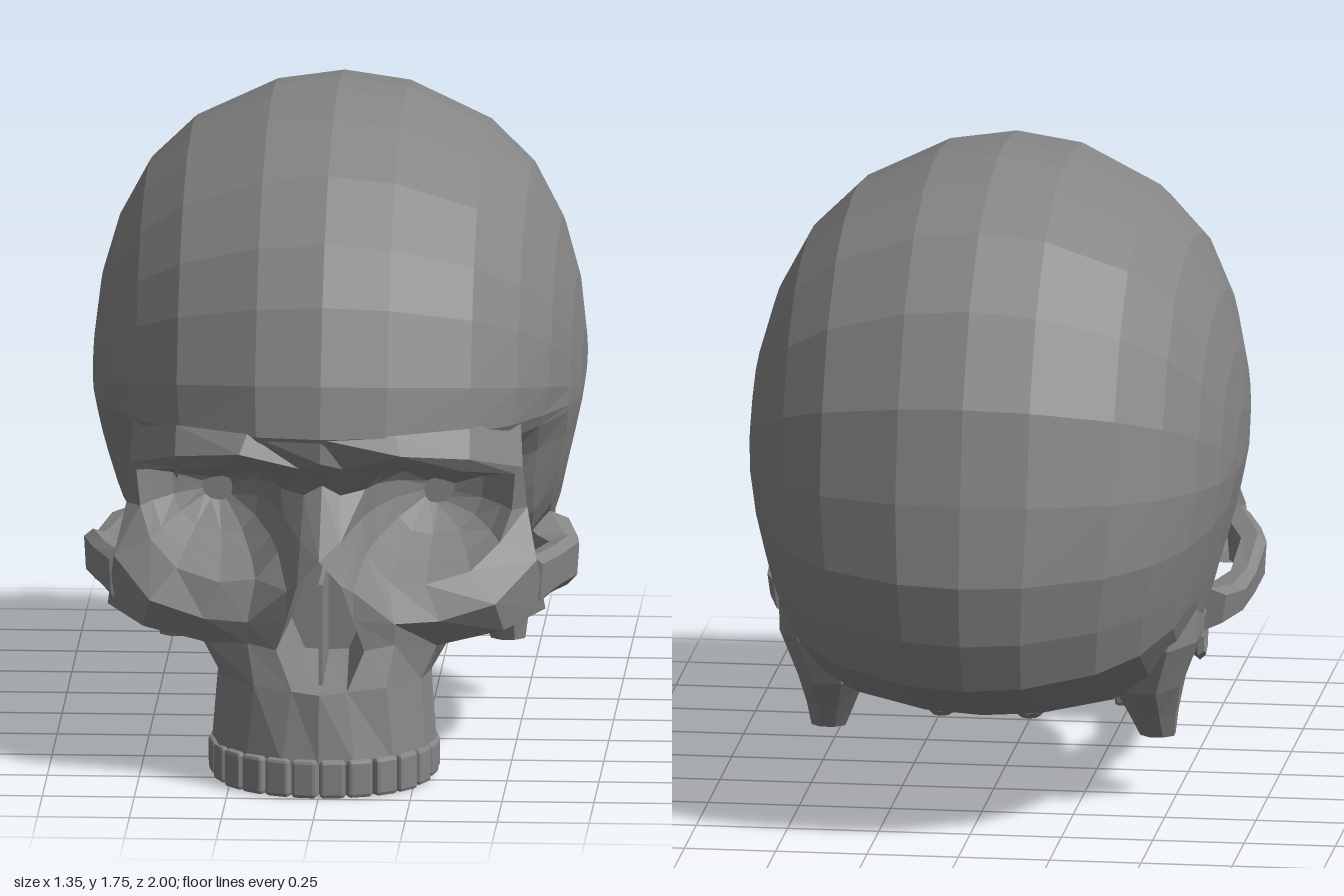
import * as THREE from 'three';
import { RoundedBoxGeometry } from 'three/addons/geometries/RoundedBoxGeometry.js';

const bone = new THREE.MeshStandardMaterial({ color: 0x868686, flatShading: true, side: THREE.DoubleSide });

function part(name, geometry, parent) {
  const mesh = new THREE.Mesh(geometry, bone);
  mesh.name = name;
  parent.add(mesh);
  return mesh;
}

// Polygons (lists of corners) to a faceted geometry
function facets(polys) {
  const out = [];
  for (const p of polys)
    for (let i = 1; i < p.length - 1; i++) out.push(...p[0], ...p[i], ...p[i + 1]);
  const g = new THREE.BufferGeometry();
  g.setAttribute('position', new THREE.Float32BufferAttribute(out, 3));
  g.computeVertexNormals();
  return g;
}

// Quads between two rows of points
function strip(a, b, closed = false) {
  const polys = [];
  const n = a.length;
  for (let i = 0; i < (closed ? n : n - 1); i++) {
    const j = (i + 1) % n;
    polys.push([a[i], b[i], b[j], a[j]]);
  }
  return polys;
}

function loft(rings, closed = true) {
  return rings.slice(1).flatMap((r, i) => strip(rings[i], r, closed));
}

const flip = (p) => [-p[0], p[1], p[2]];
const mirrored = (polys) => polys.map((p) => p.map(flip).reverse());
const smooth = (t) => THREE.MathUtils.smoothstep(t, 0, 1);
const lerp = THREE.MathUtils.lerp;

function pair(name, polys, parent) {
  part(name + 'Left', facets(polys), parent);
  part(name + 'Right', facets(mirrored(polys)), parent);
}

// Braincase: the side profile, shrunk towards each temple, with a broad flat base
function cranium() {
  const shell = [[.88, .92], [.91, .98], [.88, 1.12], [.79, 1.32], [.68, 1.47], [.5, 1.62], [.24, 1.72],
    [0, 1.75], [-.15, 1.75], [-.36, 1.72], [-.57, 1.64], [-.77, 1.47], [-.91, 1.23], [-.97, .97],
    [-1, .75], [-.97, .58], [-.91, .44], [-.5, .27], [-.37, .26], [-.1, .37], [.3, .45]];
  // The front wall is hollow behind the eyes and full at the temples
  const eyeWall = [[.46, .62], [.49, .86], [.8, .89]];
  const templeWall = [[.48, .54], [.61, .66], [.72, .8]];
  const half = [[0, 1], [.18, .97], [.4, .85], [.52, .715], [.6, .54], [.645, .36], [.665, .18], [.668, 0]];
  const sections = [...half.slice(1).reverse().map(([x, s]) => [-x, s]), ...half];
  const rings = sections.map(([x, s]) => {
    const t = smooth((Math.abs(x) - .4) / .12);
    const wall = eyeWall.map(([z, y], i) => [lerp(z, templeWall[i][0], t), lerp(y, templeWall[i][1], t)]);
    return [...shell, ...wall].map(([z, y]) => {
      const pz = -.15 + (z + .15) * s;
      const dy = y - .9;
      const py = .9 + dy * (dy < 0 ? Math.pow(s, .42) : s);
      const pinch = .11 * smooth((pz - .15) / .35) * smooth((1.08 - py) / .35);
      const taper = .13 * smooth((.98 - py) / .55);
      return [x * (1 - pinch - taper), py, pz];
    });
  });
  return facets(loft(rings));
}

function face(skull) {
  // Eye socket rim and the ring of face around it
  const rim = [[.14, .86, .82], [.24, .895, .86], [.38, .87, .79], [.515, .825, .62], [.505, .72, .6], [.475, .64, .65],
    [.4, .58, .74], [.28, .555, .8], [.18, .57, .82], [.12, .64, .8], [.105, .73, .77], [.115, .81, .76]];
  const A = [[.06, .89, .87], [.22, .935, .905], [.4, .905, .8], [.535, .84, .6], [.545, .72, .56], [.575, .59, .64],
    [.47, .5, .79], [.32, .46, .83], [.2, .46, .87], [.09, .56, .92], [.055, .69, .885], [.05, .8, .795]];
  const apex = [.3, .75, .48];
  const inward = (k, kz) => rim.map((p) => p.map((v, i) => lerp(v, apex[i], i === 2 ? kz : k)));
  const cup = inward(.8, 1);
  pair('eyeSocket', [...loft([rim, inward(.15, .4), inward(.42, .8), cup]), cup], skull);

  // Brow and cheek surround, joined back to the temple
  const top = [[0, .98, .905], [.2, .985, .87], [.4, .98, .75], [.525, .98, .53]];
  const temple = [[.525, .98, .53], [.515, .86, .44], [.475, .73, .38], [.44, .58, .36]];
  const browMid = [0, .91, .9], bridge = [0, .83, .81];
  pair('browAndOrbit', [
    ...strip(A, rim, true),
    [top[0], browMid, A[0], A[1], top[1]],
    ...strip(top.slice(1), A.slice(1, 4)),
    [temple[0], A[3], temple[1]],
    ...strip(temple.slice(1), A.slice(3, 6)),
  ], skull);

  // Nose opening, from its top down to the spine
  const n = [[0, .655, .97], [.06, .585, .96], [.09, .48, .915], [.12, .39, .895], [.075, .285, .94], [0, .28, .965]];
  pair('nasalBone', [
    [browMid, bridge, A[11], A[0]],
    [bridge, n[0], A[10], A[11]],
    [n[0], n[1], A[9], A[10]],
    [n[1], n[2], A[9]],
    [n[2], A[8], A[9]],
  ], skull);
  const deep = n.map(([x, y]) => [x * .8, .45 + (y - .45) * .8, .55]);
  pair('nasalCavity', [...strip(n, deep), deep], skull);
  const septum = part('septum', new THREE.BoxGeometry(.012, .28, .3), skull);
  septum.position.set(0, .43, .73);

  // Upper jaw with hollow palate and back wall
  const gum = [[0, .09, .985], [.1, .09, .97], [.2, .09, .91], [.28, .09, .81], [.305, .1, .68], [.29, .1, .5]];
  const mid = [n[5], n[4], [.18, .29, .9], [.27, .29, .79], [.29, .29, .66], [.28, .29, .49]];
  const up = [n[3], [.2, .4, .86], [.31, .38, .77], [.33, .36, .66], [.27, .38, .49]];
  const lip = gum.map(([x, y, z]) => [x * .68, y, .5 + (z - .5) * .76]);
  const palate = lip.map(([x, , z]) => [x * .85, .2, .5 + (z - .5) * .9]);
  pair('upperJaw', [
    ...strip(mid, gum), ...strip(up, mid.slice(1)), ...strip(gum, lip), ...strip(lip, palate),
    ...strip(palate, palate.map(([, y, z]) => [0, y, z])),
    [mid[5], up[4], [0, .4, .49], [0, .14, .49], lip[5], gum[5]],
    [n[2], n[3], up[1], A[8]],
    [A[8], up[1], up[2], A[7]],
  ], skull);

  // Cheekbone and the walls behind it
  const c6 = [.49, .415, .73], c5 = [.595, .44, .57], inner = [.52, .47, .46];
  pair('cheekbone', [
    [A[7], up[2], c6, A[6]],
    [A[6], c6, c5, A[5]],
    [up[2], up[3], inner, c5, c6],
    [up[3], up[4], [.3, .56, .3], temple[3], inner],
    [A[5], c5, inner, temple[3]],
  ], skull);
  pair('pterygoidPlate', [
    [[0, .4, .49], up[4], [.24, .49, .22], [0, .47, .22]],
    [up[4], [.3, .56, .3], [.24, .49, .22]],
  ], skull);
}

// Cheek arch: slanted sections swept from cheekbone to ear
function cheekArch(skull) {
  const path = [[.55, .52, .61, .04, .075], [.6, .525, .46, .04, .065], [.638, .52, .32, .035, .07],
    [.63, .49, .16, .035, .045], [.6, .48, .02, .055, .045], [.55, .49, -.13, .07, .06]];
  const rings = path.map(([x, y, z, w, h]) => [[x + w, y + h * .7, z], [x + w * .3, y + h, z], [x - w, y + h * .8, z],
    [x - w, y - h * .8, z], [x + w * .1, y - h, z], [x + w * .85, y - h * .6, z]]);
  pair('cheekArch', [...loft(rings), rings[0], rings[5]], skull);
}

// Mastoid process below the ear
function mastoid(skull) {
  const levels = [[.49, .64, -.28, .09, .24], [.46, .46, -.29, .12, .22], [.43, .33, -.29, .1, .17],
    [.44, .24, -.27, .07, .09], [.45, .17, -.255, .05, .045]];
  const rings = levels.map(([x, y, z, rx, rz]) => Array.from({ length: 8 }, (_, i) => {
    const a = (i + .5) * Math.PI / 4;
    return [x + rx * Math.cos(a), y, z + rz * Math.sin(a)];
  }));
  pair('mastoid', [...loft(rings), rings[4]], skull);
}

// Ear canal and neck joint
function baseDetails(skull) {
  for (const side of [1, -1]) {
    const canal = part('earCanal', new THREE.CylinderGeometry(.045, .045, .2, 8, 1, true).rotateZ(Math.PI / 2), skull);
    canal.position.set(side * .45, .43, -.14);
    const rim = part('earRim', new THREE.TorusGeometry(.045, .018, 5, 8).rotateY(Math.PI / 2), skull);
    rim.scale.y = 1.25;
    rim.position.set(side * .55, .43, -.14);
    const condyle = part('neckJoint', new THREE.SphereGeometry(.06, 8, 5), skull);
    condyle.scale.set(.8, .6, 1.1);
    condyle.position.set(side * .12, .28, -.41);
  }
}

// Teeth spaced evenly along the jaw curve
function teeth(skull) {
  const half = [[.26, .56], [.275, .7], [.235, .83], [.14, .925]];
  const pts = [...half, [0, .962], ...half.map(([x, z]) => [-x, z]).reverse()];
  const curve = new THREE.CatmullRomCurve3(pts.map(([x, z]) => new THREE.Vector3(x, 0, z)));
  const count = 16;
  const width = curve.getLength() / count;
  const row = new THREE.Group();
  row.name = 'teeth';
  skull.add(row);
  for (let i = 0; i < count; i++) {
    const t = (i + .5) / count;
    const rise = .03 * smooth((Math.abs(t - .5) - .2) / .3);
    const tooth = part('tooth', new RoundedBoxGeometry(width, .105 - rise, .075, 1, .01), row);
    const d = curve.getTangentAt(t);
    tooth.position.copy(curve.getPointAt(t)).setY(.0525 + rise / 2);
    tooth.rotation.y = Math.atan2(-d.z, d.x);
  }
}

export function createModel() {
  const skull = new THREE.Group();
  skull.name = 'skull';
  part('cranium', cranium(), skull);
  face(skull);
  cheekArch(skull);
  mastoid(skull);
  baseDetails(skull);
  teeth(skull);
  return skull;
}
